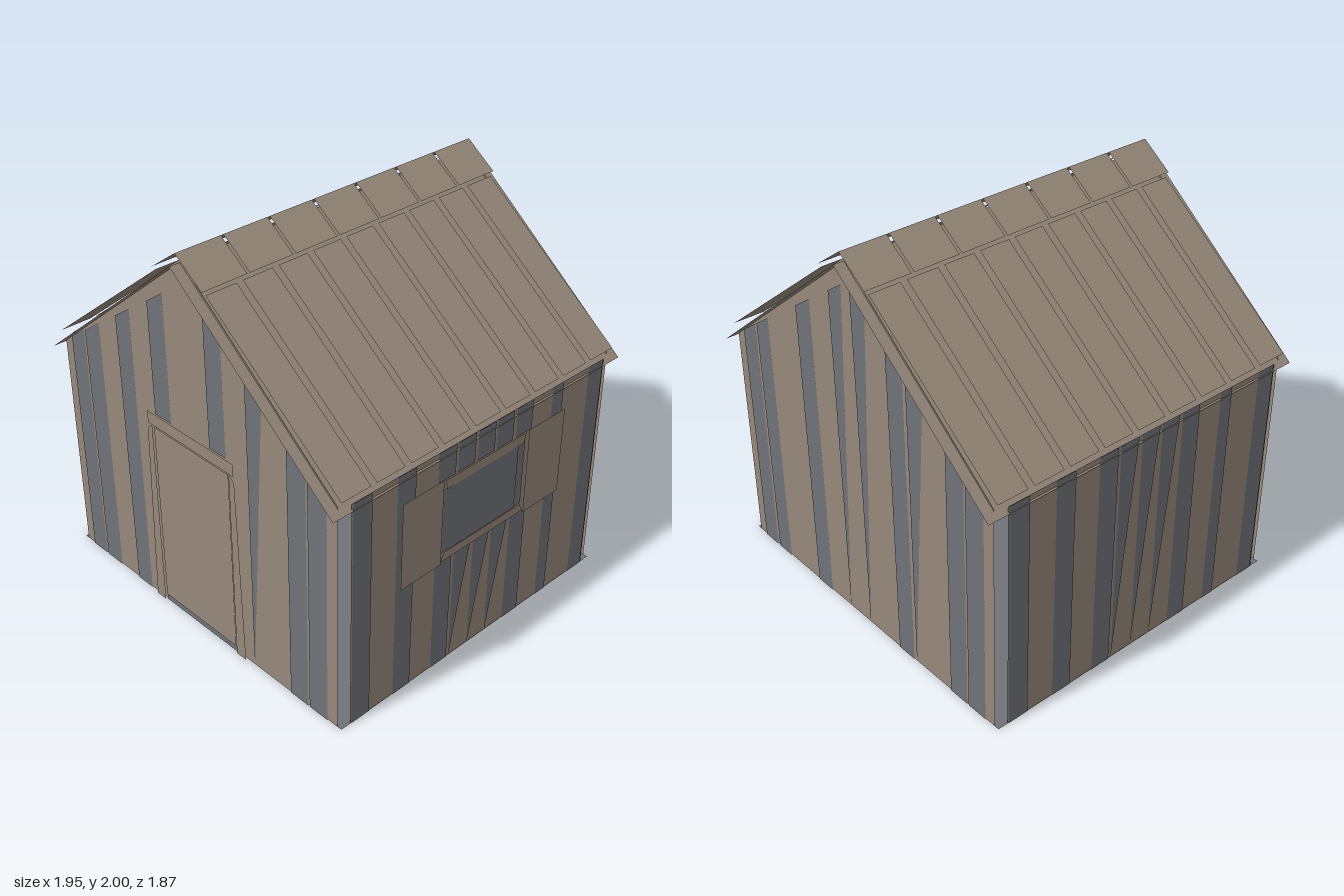
import * as THREE from 'three';

const mat = (name, color) => new THREE.MeshStandardMaterial({ name, color, side: THREE.DoubleSide });

export function createModel() {
  const brown = mat('weathered wood', 0x958879);
  const gray = mat('blue gray wood', 0x6f7277);
  const house = new THREE.Group();
  house.name = 'cabin';

  const mesh = (parent, name, geo, material) => {
    const m = new THREE.Mesh(geo, material);
    m.name = name;
    parent.add(m);
    return m;
  };
  // Flat polygon lying at depth z
  const plate = (parent, name, pts, z, material) => {
    const s = new THREE.Shape(pts.map(p => new THREE.Vector2(...p)));
    mesh(parent, name, new THREE.ShapeGeometry(s), material).position.z = z;
  };
  const rect = (x0, x1, y0, y1) => [[x0, y0], [x1, y0], [x1, y1], [x0, y1]];
  // Four-cornered panel in space, corners anticlockwise from outside
  const quad = (parent, name, a, b, c, d, material) => {
    const g = new THREE.BufferGeometry();
    g.setAttribute('position', new THREE.Float32BufferAttribute([a, b, c, a, c, d].flat(), 3));
    g.computeVertexNormals();
    mesh(parent, name, g, material);
  };
  const wall = (name, angle) => {
    const g = new THREE.Group();
    g.name = name;
    g.rotation.y = angle;
    house.add(g);
    return g;
  };

  // Gable walls stand at z = GZ, side walls at x = SX; each stops short of the corner
  const GW = 0.94, GZ = 0.88, SW = 0.825, SX = 0.963, EAVE = 1.205;
  const gableY = x => 1.85 - 0.69 * Math.abs(x);
  const gable = [[-GW, 0], [GW, 0], [GW, EAVE], [0, 1.965], [-GW, EAVE]];
  const gableStripe = (g, x0, x1, y0 = 0) =>
    plate(g, 'grayBoard', [[x0, y0], [x1, y0], [x1, gableY(x1)], [x0, gableY(x0)]], GZ + 0.004, gray);
  const gableWedge = (g, x0, x1) =>
    plate(g, 'grayWedge', [[x0, 0], [x1, gableY(x1)], [x0, gableY(x0)]], GZ + 0.004, gray);

  // Front wall with door
  const front = wall('frontWall', 0);
  plate(front, 'gable', gable, GZ, brown);
  for (const [a, b, y] of [[-0.88, -0.77], [-0.76, -0.64], [-0.5, -0.39], [-0.25, -0.135, 1.095],
    [0.135, 0.245, 1.095], [0.64, 0.755], [0.765, 0.88]]) gableStripe(front, a, b, y);
  gableWedge(front, 0.39, 0.495);
  plate(front, 'doorSill', rect(-0.265, 0.265, 0, 0.035), GZ + 0.004, gray);
  plate(front, 'door', rect(-0.262, 0.262, 0.035, 1.02), GZ + 0.008, brown);
  for (const s of [-1, 1])
    plate(front, 'doorPost', [[s * 0.27, 0], [s * 0.335, 0], [s * 0.305, 1], [s * 0.27, 1.03]], GZ + 0.012, brown);
  plate(front, 'doorLintel', rect(-0.3, 0.3, 1.03, 1.095), GZ + 0.012, brown);

  // Back wall
  const back = wall('backWall', Math.PI);
  plate(back, 'gable', gable, GZ, brown);
  for (const [a, b] of [[-0.88, -0.77], [-0.755, -0.65], [-0.4, -0.285], [0.26, 0.37],
    [0.64, 0.755], [0.765, 0.88]]) gableStripe(back, a, b);
  for (const [a, b] of [[-0.13, -0.03], [0.03, 0.13], [0.39, 0.5]]) gableWedge(back, a, b);

  // Side walls, whose tops just show above the eaves
  const right = wall('windowWall', Math.PI / 2);
  const left = wall('plainWall', -Math.PI / 2);
  const sideStripe = (g, a, b, y0 = 0, y1 = EAVE) =>
    plate(g, 'grayBoard', rect(a, b, y0, y1), SX + 0.004, gray);
  for (const g of [right, left]) {
    plate(g, 'sideWall', rect(-SW, SW, 0, EAVE), SX, brown);
    for (const [a, b] of [[-0.82, -0.71], [-0.56, -0.45], [0.45, 0.525], [0.71, 0.815]]) sideStripe(g, a, b);
  }
  for (const a of [-0.31, 0.2]) {
    sideStripe(left, a, a + 0.11);
    sideStripe(right, a, a + 0.11, 0, 0.61);
    sideStripe(right, a, a + 0.11, 1.05);
  }
  for (const x of [-0.185, -0.055, 0.07]) {
    sideStripe(right, x, x + 0.11, 1.05);
    plate(right, 'grayWedge', [[x, 0], [x + 0.11, 0.61], [x, 0.61]], SX + 0.004, gray);
    plate(left, 'grayWedge', [[x, 0], [x + 0.11, EAVE], [x, EAVE]], SX + 0.004, gray);
  }

  // Window with head, sill and open shutters
  const win = new THREE.Group();
  win.name = 'window';
  right.add(win);
  plate(win, 'windowSurround', rect(-0.27, 0.27, 0.655, 1.0), SX + 0.004, gray);
  plate(win, 'windowPane', rect(-0.22, 0.22, 0.655, 1.0), SX + 0.008, gray);
  plate(win, 'windowHead', [[-0.255, 1.0], [0.255, 1.0], [0.27, 1.05], [-0.27, 1.05]], SX + 0.01, brown);
  plate(win, 'windowSill', [[-0.28, 0.61], [0.28, 0.61], [0.26, 0.655], [-0.26, 0.655]], SX + 0.01, brown);
  for (const s of [-1, 1])
    plate(win, 'shutter', rect(s * 0.41 - 0.127, s * 0.41 + 0.127, 0.6, 1.06), SX + 0.014, brown);

  // Roof: slope sheets, raised planks and ridge boards
  const roof = new THREE.Group();
  roof.name = 'roof';
  house.add(roof);
  for (const s of [-1, 1]) {
    const slope = (name, x0, y0, x1, y1, z0, z1) => {
      const p = [[s * x0, y0, z0], [s * x0, y0, z1], [s * x1, y1, z1], [s * x1, y1, z0]];
      if (s < 0) p.reverse();
      quad(roof, name, ...p, brown);
    };
    slope('roofSheet', 0, 1.95, 0.97, 1.17, -0.935, 0.935);
    for (let i = 0; i < 9; i++) {
      const z = -0.8 + i * 0.2;
      slope('roofPlank', 0.165, 1.86, 0.965, 1.24, z - 0.083, z + 0.083);
    }
    for (let i = 0; i < 7; i++) {
      const z = -0.78 + i * 0.26;
      slope('ridgeBoard', 0, 2.0, 0.165, 1.88, z - 0.123, z + 0.123);
    }
  }

  // Floor
  const floor = mesh(house, 'floor', new THREE.PlaneGeometry(1.93, 1.76), gray);
  floor.rotation.x = Math.PI / 2;
  return house;
}
